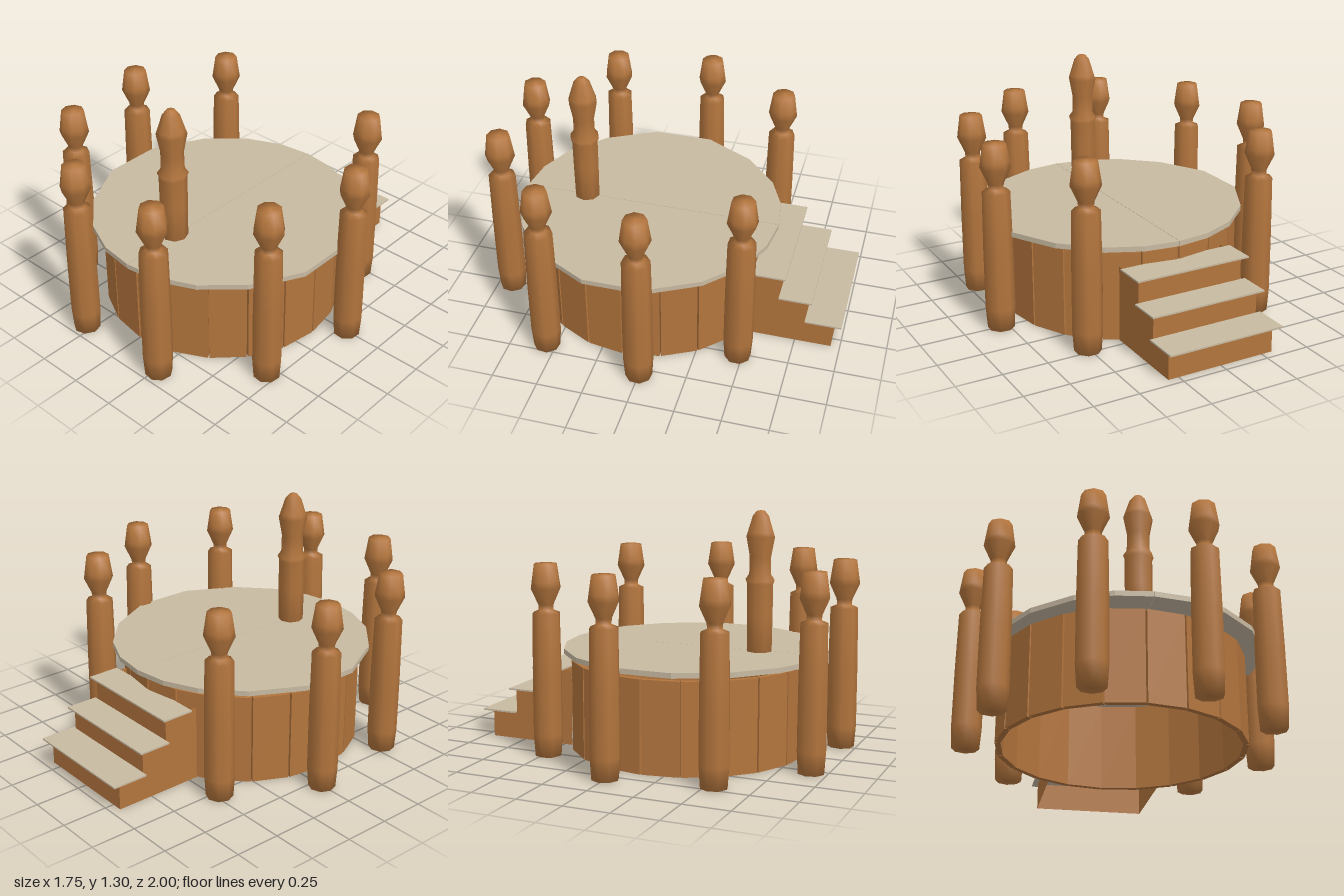
import * as THREE from 'three';

export function createModel() {
  const model = new THREE.Group();
  const wood = new THREE.MeshStandardMaterial({ color: 0xb3753d, side: THREE.DoubleSide });
  wood.name = 'warm wood';
  const pale = new THREE.MeshStandardMaterial({ color: 0xc8baa2 });
  pale.name = 'pale boards';

  function add(name, geometry, material, x = 0, y = 0, z = 0, parent = model) {
    const mesh = new THREE.Mesh(geometry, material);
    mesh.name = name;
    mesh.position.set(x, y, z);
    parent.add(mesh);
    return mesh;
  }
  const lathe = (points, sides) =>
    new THREE.LatheGeometry(points.map(([r, y]) => new THREE.Vector2(r, y)), sides);

  // Round wall of flat planks meeting on the inside, with grooves outside
  const drum = new THREE.Group();
  drum.name = 'drumWall';
  drum.position.set(0, 0, 0.13);
  model.add(drum);
  const sides = 20, apothem = 0.652, thick = 0.03, height = 0.495;
  const plankWidth = 2 * (apothem - thick) * Math.tan(Math.PI / sides);
  const plankGeometry = new THREE.BoxGeometry(plankWidth, height, thick);
  for (let i = 0; i < sides; i++) {
    const a = ((i + 0.5) / sides) * Math.PI * 2;
    const r = apothem - thick / 2;
    const plank = add('wallPlank', plankGeometry, wood, Math.sin(a) * r, height / 2, Math.cos(a) * r, drum);
    plank.rotation.y = a;
  }

  // Round floor in two halves with a fine seam
  const rim = [[0, -0.725], [0.19, -0.7], [0.38, -0.615], [0.57, -0.44], [0.715, -0.165],
    [0.715, 0.165], [0.57, 0.44], [0.38, 0.615], [0.19, 0.7], [0, 0.725]];
  for (const s of [-1, 1]) {
    const shape = new THREE.Shape(rim.map(([x, z]) => new THREE.Vector2(s * (x + 0.001), z)));
    const half = new THREE.ExtrudeGeometry(shape, { depth: 0.028, bevelEnabled: false });
    half.rotateX(Math.PI / 2);
    add(s < 0 ? 'floorRight' : 'floorLeft', half, pale, 0.025, 0.55, 0.147);
  }

  // Ring of eight carved posts
  const postGeometry = lathe([[0, 0], [0.072, 0.002], [0.08, 0.12], [0.079, 0.45], [0.074, 0.775],
    [0.04, 0.79], [0.042, 0.82], [0.081, 0.905], [0.076, 0.94], [0.062, 1.035], [0, 1.04]], 8);
  const posts = [[-0.53, -0.475], [0.51, -0.475], [-0.8, 0], [0.79, 0],
    [-0.71, 0.55], [0.695, 0.55], [-0.285, 0.915], [0.27, 0.915]];
  posts.forEach(([x, z], i) => {
    add('post', postGeometry, wood, x, 0, z).rotation.y = i * 0.37;
  });

  // Tall carved pillar standing on the floor
  const pillar = lathe([[0, 0.51], [0.07, 0.512], [0.073, 0.75], [0.074, 0.915], [0.082, 0.935],
    [0.062, 0.965], [0.06, 1.06], [0.08, 1.165], [0.072, 1.19], [0.045, 1.275], [0.022, 1.302], [0, 1.305]], 8);
  add('pillar', pillar, wood, 0.018, 0, 0.52);

  // Back stairs: hollow body of side walls and risers, with overhanging treads
  const stairs = new THREE.Group();
  stairs.name = 'stairs';
  model.add(stairs);
  const tops = [0.15, 0.283, 0.418];
  const fronts = [-0.95, -0.8, -0.65];
  const treads = [[-1, -0.8], [-0.83, -0.65], [-0.68, -0.5]];
  const profile = new THREE.Shape();
  profile.moveTo(0.45, 0);
  profile.lineTo(0.95, 0);
  tops.forEach((y, i) => {
    profile.lineTo(-fronts[i], y);
    profile.lineTo(i < 2 ? -fronts[i + 1] : 0.45, y);
  });
  const sideGeometry = new THREE.ShapeGeometry(profile);
  sideGeometry.rotateY(Math.PI / 2);
  for (const x of [-0.31, 0.31]) add('stairSide', sideGeometry, wood, x, 0, 0, stairs);
  tops.forEach((y, i) => {
    const low = i ? tops[i - 1] : 0;
    const riser = new THREE.PlaneGeometry(0.62, y - low);
    riser.rotateY(Math.PI);
    add('riser', riser, wood, 0, (y + low) / 2, fronts[i], stairs);
    const [z0, z1] = treads[i];
    add('tread', new THREE.BoxGeometry(0.668, 0.009, z1 - z0), pale, -0.005, y + 0.005, (z0 + z1) / 2, stairs);
  });

  return model;
}
